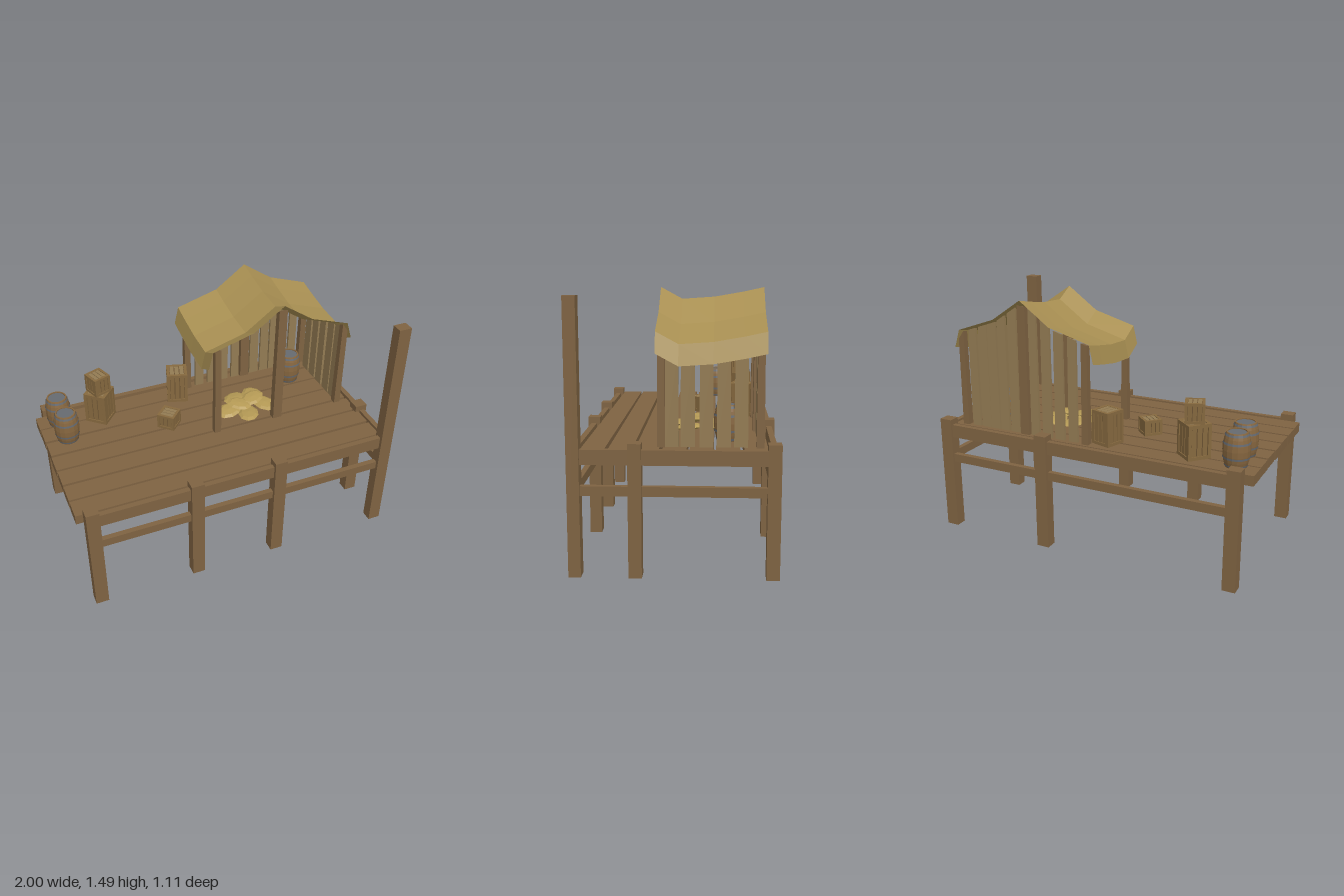
import * as THREE from 'three';

const mat = (color, side = THREE.FrontSide) =>
  new THREE.MeshStandardMaterial({ color, flatShading: true, side });
const WOOD = mat(0x7f6342), PALE = mat(0x937b53), CRATE = mat(0x86693f), DARK = mat(0x6b5233);
const CLOTH = mat(0xa88f52, THREE.DoubleSide), STRAW = mat(0xb59a55), METAL = mat(0x666a70);
const STAVE = mat(0x86663f);
const DECK = 0.675;

let seed = 7;
const rnd = () => (seed = (seed * 16807) % 2147483647) / 2147483647;
const jitter = (a) => (rnd() - 0.5) * 2 * a;

function add(parent, name, geometry, material, x = 0, y = 0, z = 0) {
  const m = new THREE.Mesh(geometry, material);
  m.name = name;
  m.position.set(x, y, z);
  parent.add(m);
  return m;
}

const box = (parent, name, material, w, h, d, x, y, z) =>
  add(parent, name, new THREE.BoxGeometry(w, h, d), material, x, y, z);

function group(parent, name, x = 0, y = 0, z = 0, turn = 0) {
  const g = new THREE.Group();
  g.name = name;
  g.position.set(x, y, z);
  g.rotation.y = turn;
  parent.add(g);
  return g;
}

// Roof cross-section (x, y), swept along z with a sag
const PROFILE = [[-0.045, 1.165], [-0.02, 1.275], [0.24, 1.35], [0.43, 1.488], [0.62, 1.36], [0.87, 1.275], [0.905, 1.165]];
const SAG = [[0.1, 0], [-0.02, -0.065], [-0.2, -0.053], [-0.36, -0.025], [-0.475, 0]];

function interpolate(points, t) {
  const p = points[0][0] < points[1][0] ? points : [...points].reverse();
  for (let i = 1; i < p.length; i++) {
    if (t <= p[i][0]) {
      const k = Math.max(0, (t - p[i - 1][0]) / (p[i][0] - p[i - 1][0]));
      return p[i - 1][1] + k * (p[i][1] - p[i - 1][1]);
    }
  }
  return p[p.length - 1][1];
}
const roofHeight = (x, z) => interpolate(PROFILE, x) + interpolate(SAG, z);

function roofGeometry() {
  const pos = [], index = [], n = PROFILE.length;
  SAG.forEach(([z, sag]) => PROFILE.forEach(([x, y]) => pos.push(x, y + sag, z)));
  for (let r = 0; r < SAG.length - 1; r++) {
    for (let c = 0; c < n - 1; c++) {
      const a = r * n + c, b = a + 1, d = a + n, e = d + 1;
      index.push(a, b, e, a, e, d);
    }
  }
  const g = new THREE.BufferGeometry();
  g.setAttribute('position', new THREE.Float32BufferAttribute(pos, 3));
  g.setIndex(index);
  g.computeVertexNormals();
  return g;
}

// Upright board reaching from the deck to just under the roof
function upright(parent, name, material, w, d, x, z, taper = 0.88) {
  const h = roofHeight(x, z) - 0.012 - DECK;
  const g = new THREE.BoxGeometry(w, h, d);
  const p = g.attributes.position;
  for (let i = 0; i < p.count; i++) {
    if (p.getY(i) > 0) {
      p.setX(i, p.getX(i) * taper);
      p.setZ(i, p.getZ(i) * taper);
      // Slope the top with the roof
      p.setY(i, roofHeight(x + p.getX(i), z + p.getZ(i)) - 0.012 - DECK - h / 2);
    }
  }
  g.computeVertexNormals();
  add(parent, name, g, material, x, DECK + h / 2, z);
}

function barrel(parent, x, z) {
  const g = group(parent, 'barrel', x, DECK, z);
  const H = 0.2, radius = (y) => 0.061 + 0.017 * (1 - (2 * y / H - 1) ** 2);
  const pts = [new THREE.Vector2(0, 0)];
  for (let i = 0; i <= 6; i++) pts.push(new THREE.Vector2(radius(i * H / 6), i * H / 6));
  pts.push(new THREE.Vector2(0.053, H), new THREE.Vector2(0.053, H - 0.012));
  add(g, 'staves', new THREE.LatheGeometry(pts, 16), STAVE);
  add(g, 'lid', new THREE.CylinderGeometry(0.055, 0.055, 0.006, 16), METAL, 0, H - 0.009, 0);
  for (const y of [0.012, 0.058, 0.142, 0.188]) {
    add(g, 'hoop', new THREE.CylinderGeometry(radius(y + 0.006) + 0.002, radius(y - 0.006) + 0.002, 0.012, 16, 1, true), METAL, 0, y, 0);
  }
}

// Crate: recessed core, corner frame and slats on top and sides
function crate(parent, s, h, x, y, z, turn) {
  const g = group(parent, 'crate', x, y, z, turn);
  const t = s * 0.14, o = (s - t) / 2;
  box(g, 'core', DARK, s - t, h - t, s - t, 0, h / 2, 0);
  for (const a of [-1, 1]) {
    for (const b of [-1, 1]) {
      box(g, 'cornerPost', CRATE, t, h, t, a * o, h / 2, b * o);
      const ry = h / 2 + a * (h - t) / 2;
      box(g, 'frameRail', CRATE, s - 2 * t, t, t, 0, ry, b * o);
      box(g, 'frameRail', CRATE, t, t, s - 2 * t, b * o, ry, 0);
    }
  }
  const w = (s - 2 * t) / 3;
  for (let i = -1; i <= 1; i++) {
    box(g, 'topSlat', PALE, w * 0.82, t * 0.5, s - 2 * t, i * w, h - t * 0.35, 0);
    for (const a of [-1, 1]) {
      box(g, 'sideSlat', CRATE, w * 0.82, h - 2 * t, t * 0.4, i * w, h / 2, a * (o + t * 0.05));
      box(g, 'sideSlat', CRATE, t * 0.4, h - 2 * t, w * 0.82, a * (o + t * 0.05), h / 2, i * w);
    }
  }
}

export function createModel() {
  const model = new THREE.Group();
  model.name = 'pier';

  // Deck planks
  const deck = group(model, 'deck');
  for (let i = 0; i < 7; i++) {
    const p = box(deck, 'plank', WOOD, 1.94, 0.06, 0.124, -0.03 + jitter(0.003), 0.645, -0.42 + i * 0.14);
    p.rotation.y = jitter(0.004);
  }

  // Support posts: x, z, height
  const posts = group(model, 'posts');
  for (const [x, z, h] of [[-0.915, 0.515, 0.715], [-0.295, 0.515, 0.715], [0.235, 0.515, 0.715], [0.96, 0.517, 1.46],
    [0.96, 0.2, 0.715], [0.96, -0.515, 0.715], [0.275, -0.52, 0.715], [-0.915, -0.52, 0.715]]) {
    box(posts, 'post', WOOD, 0.078, h, z === 0.517 ? 0.066 : 0.07, x, h / 2, z);
  }

  // Upper and lower rails on the front, back and left-hand end
  const rails = group(model, 'rails');
  for (const [y, h] of [[0.64, 0.08], [0.462, 0.052]]) {
    for (const z of [-0.52, 0.515]) box(rails, 'longRail', WOOD, 1.87, h, 0.032, 0.02, y, z);
    box(rails, 'endRail', WOOD, 0.032, h, 1.0, 0.968, y, 0);
  }

  // Shelter: corner and middle posts, slatted back and one slatted side
  const shelter = group(model, 'shelter');
  for (const z of [0.07, -0.445]) {
    upright(shelter, 'cornerPost', WOOD, 0.042, 0.042, 0.02, z);
    upright(shelter, 'middlePost', WOOD, 0.06, 0.045, 0.43, z);
    upright(shelter, 'cornerPost', WOOD, 0.042, 0.042, 0.865, z);
  }
  for (const x of [0.105, 0.195, 0.28, 0.365, 0.505, 0.58, 0.65, 0.715, 0.79]) {
    upright(shelter, 'backSlat', PALE, 0.06 + jitter(0.006), 0.018, x, -0.445, 0.92);
  }
  for (const z of [0.015, -0.068, -0.165, -0.255, -0.345]) {
    upright(shelter, 'sideSlat', PALE, 0.018, 0.072 + jitter(0.005), 0.868, z, 0.92);
  }
  add(shelter, 'roofCloth', roofGeometry(), CLOTH);

  // Heap of flat straw pads
  const heap = group(model, 'strawHeap');
  for (const [x, y, z, r, turn] of [[0.17, 0.012, -0.08, 0.09, 0.2], [0.27, 0.015, 0.0, 0.09, 1.1], [0.41, 0.016, -0.06, 0.09, 2.0],
    [0.25, 0.017, -0.18, 0.09, 0.7], [0.38, 0.015, -0.18, 0.09, 1.6], [0.24, 0.045, -0.08, 0.08, 2.5], [0.34, 0.052, -0.1, 0.085, 0.4]]) {
    const pad = add(heap, 'pad', new THREE.SphereGeometry(r, 9, 4), STRAW, x, DECK + y, z);
    pad.scale.set(1, 0.17, 0.72);
    pad.rotation.set(jitter(0.12), turn, jitter(0.12));
  }

  // Cargo
  const cargo = group(model, 'cargo');
  barrel(cargo, -0.87, -0.38);
  barrel(cargo, -0.86, -0.205);
  barrel(cargo, 0.69, -0.28);
  crate(cargo, 0.142, 0.205, -0.61, DECK, -0.345, 0.85);
  crate(cargo, 0.112, 0.118, -0.61, DECK + 0.205, -0.345, 0.35);
  crate(cargo, 0.132, 0.205, -0.08, DECK, -0.37, -0.3);
  crate(cargo, 0.112, 0.095, -0.233, DECK, -0.105, 0.8);
  return model;
}
